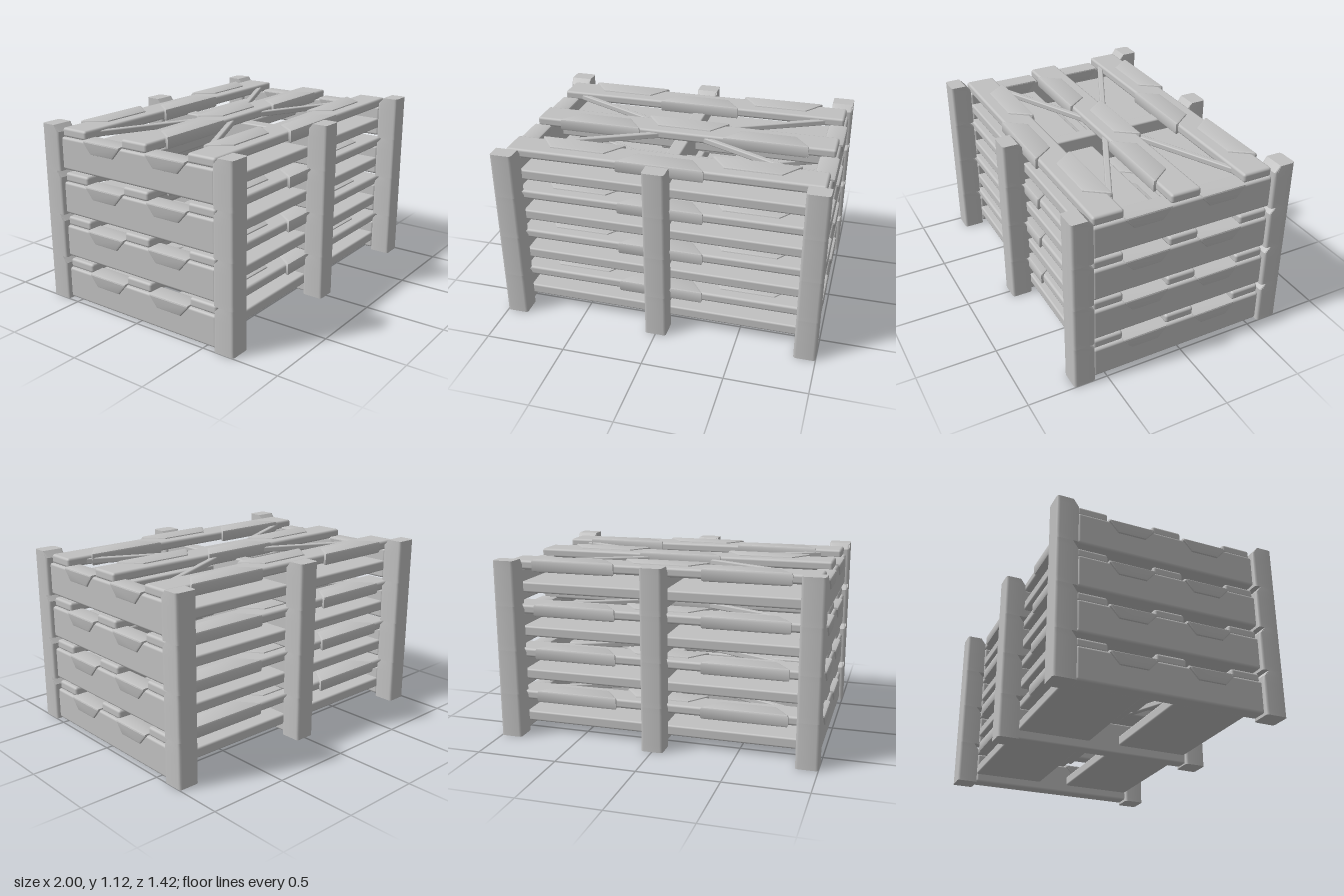
import * as THREE from 'three';
import { toCreasedNormals } from 'three/addons/utils/BufferGeometryUtils.js';
import { RoundedBoxGeometry } from 'three/addons/geometries/RoundedBoxGeometry.js';

const LAYERS = 4, LAYER_H = 0.28;

// Post segment with rounded upright edges; its inner face leans back at the top
function postGeometry() {
  const w = 0.0675, d = 0.0675, r = 0.018;
  const s = new THREE.Shape();
  s.moveTo(-w + r, -d);
  s.lineTo(w - r, -d);
  s.quadraticCurveTo(w, -d, w, -d + r);
  s.lineTo(w, d - r);
  s.quadraticCurveTo(w, d, w - r, d);
  s.lineTo(-w + r, d);
  s.quadraticCurveTo(-w, d, -w, d - r);
  s.lineTo(-w, -d + r);
  s.quadraticCurveTo(-w, -d, -w + r, -d);
  const g = new THREE.ExtrudeGeometry(s, { depth: LAYER_H, steps: 7, bevelEnabled: false, curveSegments: 3 });
  g.rotateX(-Math.PI / 2);
  g.translate(0, 0, 0.6425);
  const p = g.attributes.position;
  for (let i = 0; i < p.count; i++) {
    if (p.getY(i) > LAYER_H - 0.01) p.setZ(i, Math.max(p.getZ(i), 0.612));
  }
  return toCreasedNormals(g, 0.6);
}

// Bevelled trapezoid: wide edge on y = 0, tapering towards +y, centred on z
function lumpGeometry(wide, narrow, depth, thick) {
  const b = 0.014;
  const s = new THREE.Shape();
  s.moveTo(-wide / 2, 0);
  s.lineTo(wide / 2, 0);
  s.lineTo(wide / 2, 0.015);
  s.lineTo(narrow / 2, depth);
  s.lineTo(-narrow / 2, depth);
  s.lineTo(-wide / 2, 0.015);
  const g = new THREE.ExtrudeGeometry(s, {
    depth: thick - 2 * b, bevelThickness: b, bevelSize: b, bevelOffset: -b, bevelSegments: 2,
  });
  g.translate(0, 0, -thick / 2 + b);
  return toCreasedNormals(g, 0.6);
}

export function createModel() {
  const grey = new THREE.MeshStandardMaterial({ color: 0xc0c0c0 });
  grey.name = 'plain grey';

  const add = (parent, name, geo, x = 0, y = 0, z = 0, ry = 0) => {
    const m = new THREE.Mesh(geo, grey);
    m.name = name;
    m.position.set(x, y, z);
    m.rotation.y = ry;
    parent.add(m);
  };

  const post = postGeometry();
  const sideBoard = new RoundedBoxGeometry(0.1, 0.2, 1.15, 2, 0.015);
  const centreBeam = new RoundedBoxGeometry(0.09, 0.2, 1.17, 2, 0.01);
  const lowerBoard = new RoundedBoxGeometry(1.8, 0.066, 0.475, 2, 0.012);
  const upperPlank = new RoundedBoxGeometry(1.93, 0.058, 0.19, 2, 0.016);
  const brace = new RoundedBoxGeometry(1.88, 0.036, 0.036, 1, 0.008);
  const plankLump = lumpGeometry(0.53, 0.34, 0.14, 0.078);
  const lumpBack = plankLump.clone().rotateX(Math.PI / 2);
  const lumpFront = plankLump.clone().rotateX(-Math.PI / 2);
  const sideLump = lumpGeometry(0.29, 0.175, 0.08, 0.124).rotateZ(Math.PI).rotateY(Math.PI / 2);

  // Upper planks: centre z, and which edge carries the single middle lump
  const planks = [
    { z: -0.48, single: 1 },
    { z: -0.005, single: -1 },
    { z: 0.475, single: 1 },
  ];

  const model = new THREE.Group();
  model.name = 'slattedCrate';

  for (let i = 0; i < LAYERS; i++) {
    const layer = new THREE.Group();
    layer.name = 'crateLayer';
    layer.position.y = i * LAYER_H;
    model.add(layer);

    // Six posts
    for (const x of [-0.9325, 0, 0.9325]) {
      add(layer, 'frontPost', post, x);
      add(layer, 'backPost', post, x, 0, 0, Math.PI);
    }

    // Side boards with lumps on their top edges, lower boards
    for (const s of [-1, 1]) {
      add(layer, 'sideBoard', sideBoard, s * 0.93, 0.11, 0);
      for (const z of [-0.24, 0.24]) add(layer, 'sideLump', sideLump, s * 0.93, 0.219, z);
      add(layer, 'lowerBoard', lowerBoard, 0, 0.097, s * 0.3375);
    }
    add(layer, 'centreBeam', centreBeam, 0, 0.11, 0);

    // Crossed braces
    for (const s of [-1, 1]) add(layer, 'crossBrace', brace, 0, 0.229, 0, s * Math.atan(0.48));

    // Upper planks and their lumps
    for (const { z, single } of planks) {
      add(layer, 'upperPlank', upperPlank, 0, 0.236, z);
      const lump = (x, edge) =>
        add(layer, 'plankLump', edge > 0 ? lumpFront : lumpBack, x, 0.236, z + edge * 0.112);
      lump(0, single);
      lump(-0.535, -single);
      lump(0.535, -single);
    }
  }
  return model;
}
